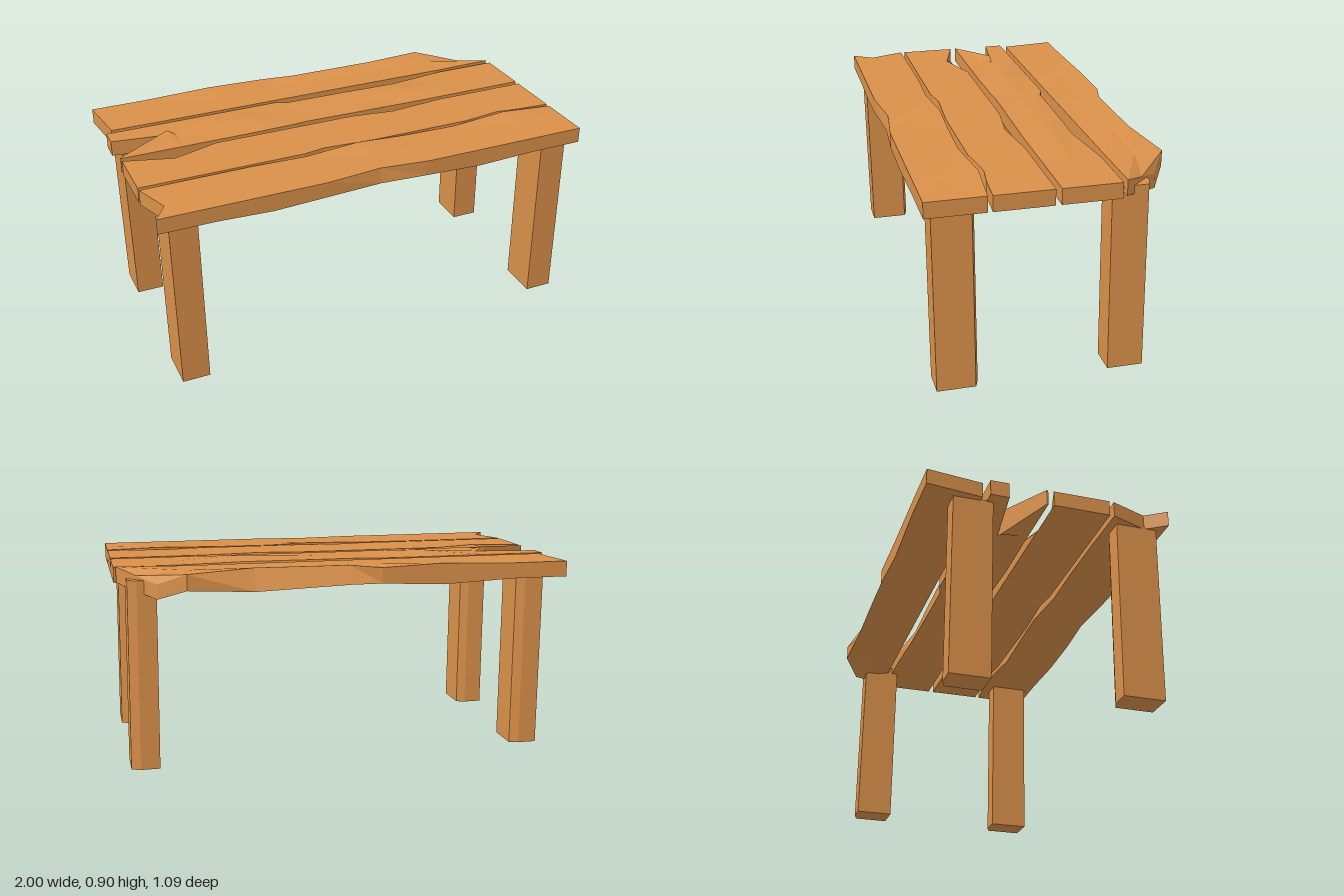
import * as THREE from 'three';

const wood = new THREE.MeshStandardMaterial({ color: 0xd9904a, flatShading: true });

// Solid skinned over matching rings of points, capped at both ends
function loft(name, rings) {
  const pos = [];
  const tri = (a, b, c) => pos.push(...a, ...b, ...c);
  const n = rings[0].length;
  for (let s = 0; s < rings.length - 1; s++) {
    for (let i = 0; i < n; i++) {
      const j = (i + 1) % n;
      tri(rings[s][i], rings[s][j], rings[s + 1][j]);
      tri(rings[s][i], rings[s + 1][j], rings[s + 1][i]);
    }
  }
  const first = rings[0], last = rings[rings.length - 1];
  for (let k = 1; k < n - 1; k++) {
    const b = (1 + k) % n, c = (2 + k) % n;
    tri(last[1], last[b], last[c]);
    tri(first[1], first[c], first[b]);
  }
  const g = new THREE.BufferGeometry();
  g.setAttribute('position', new THREE.Float32BufferAttribute(pos, 3));
  g.computeVertexNormals();
  const mesh = new THREE.Mesh(g, wood);
  mesh.name = name;
  return mesh;
}

// Plank from stations [x, zBack, zFront, options]. Options: t and b are top and
// bottom heights over [back, middle, front]; inB and inF inset the top edges;
// dx shifts the three columns along the plank; zm places the middle column.
function plank(name, stations) {
  return loft(name, stations.map(([x, zb, zf, o = {}]) => {
    const t = o.t ?? [0.885, 0.885, 0.885], b = o.b ?? [0.815, 0.815, 0.815];
    const dx = o.dx ?? [0, 0, 0], zm = o.zm ?? (zb + zf) / 2;
    return [
      [x + dx[0], t[0], zb + (o.inB ?? 0)], [x + dx[1], t[1], zm],
      [x + dx[2], t[2], zf - (o.inF ?? 0)],
      [x + dx[2], b[2], zf], [x + dx[1], b[1], zm], [x + dx[0], b[0], zb],
    ];
  }));
}

// Slightly leaning post with one chamfered back corner
function leg(name, x, zBack, zFront, lean, top) {
  const ring = (y, cx, dz) => {
    const l = cx - 0.0625, r = cx + 0.0625;
    return [[l, zFront], [r, zFront], [r, zBack + 0.016], [r - 0.04, zBack], [l, zBack]]
      .map(([px, pz]) => [px, y, pz + dz]);
  };
  return loft(name, [ring(0.005, x + lean, -0.004), ring(top, x - lean, 0.004)]);
}

export function createModel() {
  const table = new THREE.Group();
  table.name = 'table';

  const top = new THREE.Group();
  top.name = 'tableTop';
  table.add(top);

  // Front plank with a dented left end
  top.add(plank('frontPlank', [
    [-1, 0.285, 0.54, { dx: [0, 0.06, 0], zm: 0.45 }],
    [-0.75, 0.282, 0.54],
    [-0.5, 0.28, 0.54, { b: [0.81, 0.81, 0.805] }],
    [-0.25, 0.29, 0.54],
    [0, 0.272, 0.524, { t: [0.893, 0.887, 0.885], inF: 0.01 }],
    [0.22, 0.28, 0.54],
    [0.48, 0.289, 0.54, { b: [0.81, 0.81, 0.805] }],
    [0.76, 0.265, 0.54, { t: [0.893, 0.887, 0.885] }],
    [1, 0.285, 0.54],
  ]));

  // Second plank, chipped along its back edge
  top.add(plank('frontMiddlePlank', [
    [-1, 0.01, 0.265],
    [-0.78, 0.01, 0.265, { inB: 0.065 }],
    [-0.57, 0.01, 0.265],
    [-0.25, 0.01, 0.265],
    [-0.15, 0.01, 0.252, { inF: 0.004 }],
    [0.1, 0.01, 0.265],
    [0.3, 0.01, 0.265, { inB: 0.027 }],
    [0.56, 0.01, 0.265],
    [0.74, 0.01, 0.252, { inF: 0.012 }],
    [0.86, 0.01, 0.256],
    [1, 0.01, 0.265],
  ]));

  // Third plank, warped, with a split left end
  top.add(plank('backMiddlePlank', [
    [-0.72, -0.27, -0.015],
    [-0.42, -0.27, -0.015, { t: [0.885, 0.9, 0.885], b: [0.81, 0.79, 0.81] }],
    [-0.18, -0.27, -0.02],
    [-0.13, -0.253, -0.025, { inB: 0.005 }],
    [0.14, -0.255, -0.02, { t: [0.885, 0.89, 0.885], inB: 0.01 }],
    [0.43, -0.262, -0.015, { t: [0.885, 0.9, 0.885], b: [0.81, 0.79, 0.81], inB: 0.025 }],
    [0.71, -0.27, -0.015],
    [1, -0.27, -0.015],
  ]));
  top.add(plank('splitBackProng', [
    [-1, -0.27, -0.187],
    [-0.72, -0.27, -0.148],
  ]));
  top.add(plank('splitFrontProng', [
    [-1, -0.022, -0.015],
    [-0.75, -0.15, -0.015, { t: [0.908, 0.89, 0.885], b: [0.79, 0.8, 0.815] }],
    [-0.71, -0.15, -0.015],
  ]));

  // Back plank with a broken, drooping right end
  top.add(plank('backPlank', [
    [-1, -0.545, -0.295, { dx: [0, 0.015, 0.03] }],
    [-0.75, -0.545, -0.293],
    [-0.42, -0.54, -0.293, { t: [0.895, 0.887, 0.885], b: [0.8, 0.805, 0.815] }],
    [-0.14, -0.545, -0.293],
    [0, -0.545, -0.293, { t: [0.895, 0.887, 0.885], inB: 0.04 }],
    [0.42, -0.545, -0.293, { t: [0.897, 0.887, 0.885], b: [0.8, 0.81, 0.815], inB: 0.045 }],
    [0.71, -0.545, -0.293],
    [0.83, -0.47, -0.29, {
      dx: [0, 0.08, 0.16], t: [0.835, 0.862, 0.89], b: [0.77, 0.795, 0.82],
    }],
  ]));

  // Legs
  table.add(leg('frontRightLeg', -0.877, 0.315, 0.5, 0.005, 0.82));
  table.add(leg('frontLeftLeg', 0.893, 0.317, 0.5, 0.005, 0.82));
  table.add(leg('backRightLeg', -0.877, -0.42, -0.245, 0.005, 0.82));
  table.add(leg('backLeftLeg', 0.893, -0.418, -0.245, 0.005, 0.845));

  return table;
}
